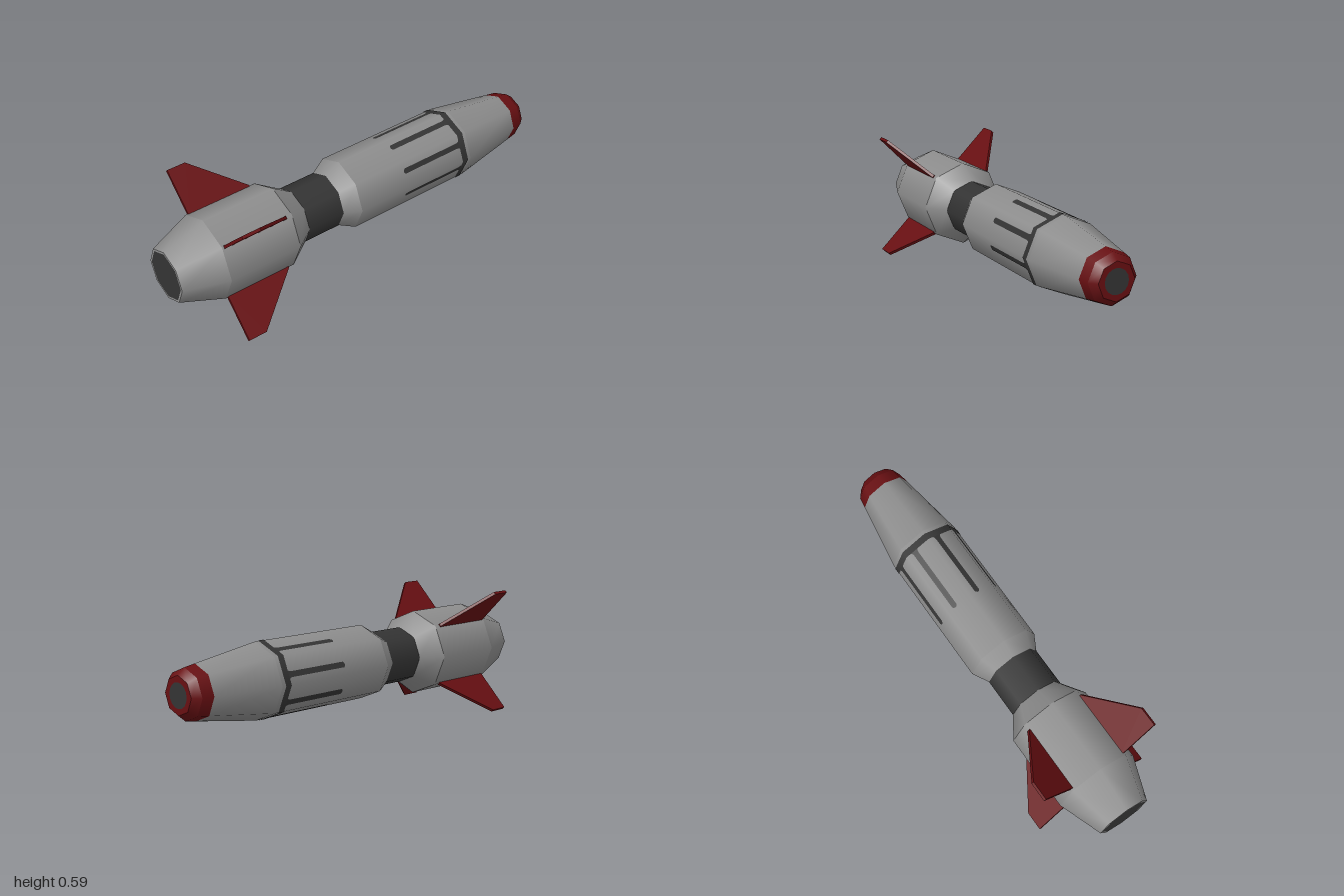
import * as THREE from 'three';

const SIDES = 8;
const AXIS_Y = 0.2935;

export function createModel() {
  const material = (name, color) => {
    const m = new THREE.MeshStandardMaterial({ color });
    m.name = name;
    return m;
  };
  const grey = material('hull grey', 0x8e8e8e);
  const dark = material('dark grey', 0x343434);
  const red = material('dark red', 0x680f12);

  const model = new THREE.Group();
  model.name = 'missile';
  const body = new THREE.Group(); // origin on the long axis
  body.name = 'body';
  body.position.y = AXIS_Y;
  model.add(body);

  const add = (name, geometry, mat, parent = body) => {
    const mesh = new THREE.Mesh(geometry, mat);
    mesh.name = name;
    parent.add(mesh);
    return mesh;
  };

  // Eight-sided section from (x0, r0) to (x1, r1) along the long axis
  const section = (name, x0, r0, x1, r1, mat, sides = SIDES) => {
    const points = [new THREE.Vector2(r0, x0), new THREE.Vector2(r1, x1)];
    return add(name, new THREE.LatheGeometry(points, sides).rotateZ(-Math.PI / 2), mat);
  };

  // Tail
  section('tailCap', -1, 0, -1, 0.116, dark);
  section('tailRim', -1, 0.116, -1, 0.127, grey);
  section('tailTaper', -1, 0.127, -0.8, 0.2, grey);
  section('tailHull', -0.8, 0.2, -0.44, 0.2, grey);
  section('tailShoulder', -0.44, 0.2, -0.34, 0.132, grey);

  // Waist and forward hull
  section('waist', -0.34, 0.132, -0.15, 0.132, dark);
  section('hullShoulder', -0.15, 0.132, -0.075, 0.173, grey);
  section('hull', -0.075, 0.173, 0.58, 0.173, grey);
  section('noseTaper', 0.58, 0.173, 0.91, 0.122, grey);

  // Nose
  section('noseBand', 0.91, 0.122, 0.965, 0.113, red);
  section('noseBevel', 0.965, 0.113, 1, 0.085, red);
  section('noseFace', 1, 0.085, 1, 0.05, red);
  section('noseTip', 1, 0.056, 1, 0, dark, 16).position.x = 0.0005;

  // Painted ring
  section('hullRing', 0.53, 0.1755, 0.562, 0.1755, dark);

  // Painted stripe with a rounded rear end, widening into the ring
  const stripe = new THREE.Shape();
  stripe.moveTo(0.535, -0.026);
  stripe.quadraticCurveTo(0.528, -0.013, 0.51, -0.013);
  stripe.lineTo(0.2, -0.013);
  stripe.quadraticCurveTo(0.182, 0, 0.2, 0.013);
  stripe.lineTo(0.51, 0.013);
  stripe.quadraticCurveTo(0.528, 0.013, 0.535, 0.026);
  const stripeGeometry = new THREE.ShapeGeometry(stripe, 6);
  const faceDistance = 0.173 * Math.cos(Math.PI / SIDES) + 0.002;

  for (let i = 0; i < SIDES; i++) {
    const turn = new THREE.Group();
    turn.name = 'stripeFace';
    turn.rotation.x = -(i + 0.5) * Math.PI * 2 / SIDES;
    body.add(turn);
    add('hullStripe', stripeGeometry, dark, turn).position.set(0, 0.02, faceDistance);
  }

  // Four diagonal fins
  const outline = [[-0.79, 0.18], [-0.47, 0.18], [-0.47, 0.203], [-0.7, 0.408], [-0.79, 0.408]];
  const finShape = new THREE.Shape(outline.map(([x, y]) => new THREE.Vector2(x, y)));
  const finGeometry = new THREE.ExtrudeGeometry(finShape, { depth: 0.014, bevelEnabled: false });
  finGeometry.translate(0, 0, -0.007);
  for (let i = 0; i < 4; i++) {
    add('fin', finGeometry, red).rotation.x = Math.PI / 4 + i * Math.PI / 2;
  }

  return model;
}
